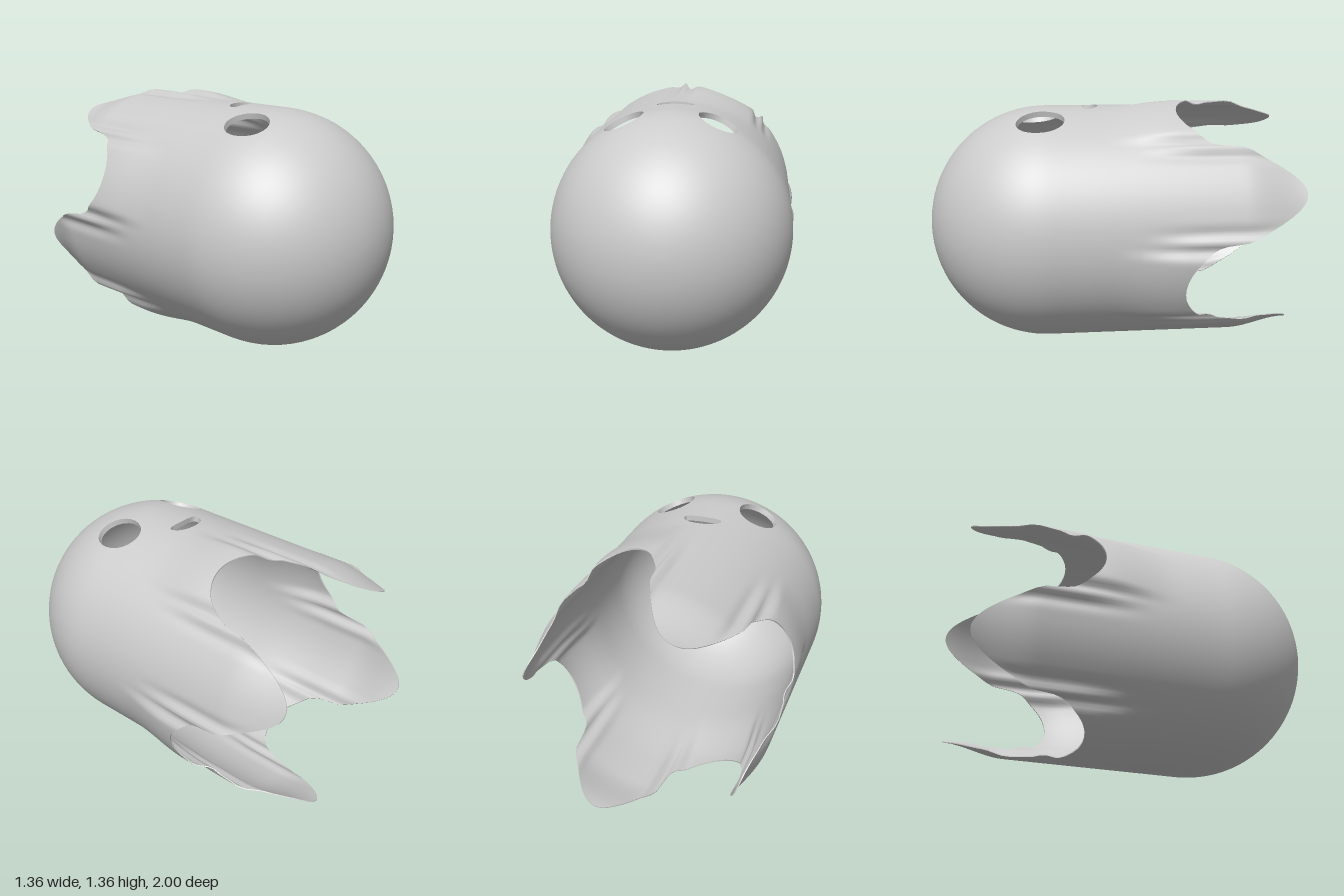
import * as THREE from 'three';
import { mergeVertices } from 'three/addons/utils/BufferGeometryUtils.js';

const R = 0.65, DOME_Z = 0.35, AXIS_Y = 0.683, WALL = 0.03;
const COLS = 256, DOME = 24, STRAIGHT = 9, HEM = 36;
const ROWS = DOME + STRAIGHT + HEM;
const STEP = (Math.PI * 2) / COLS;
const smooth = (a, b, v) => {
  const t = Math.min(1, Math.max(0, (v - a) / (b - a)));
  return t * t * (3 - 2 * t);
};

// Positive on the four petals, negative in the four notches
const wave = (a) => -Math.sin(4 * a);

// z of the hem around the body
function hemZ(a) {
  const s = wave(a);
  return s > 0 ? -0.66 - 0.335 * Math.pow(s, 0.85) : -0.66 + 0.32 * Math.pow(-s, 0.45);
}

// Point on the skin: a is the angle from the top, depth the distance inward
function skin(a, z, inner) {
  let r = R, depth = 0;
  if (z > DOME_Z) {
    r = Math.sqrt(Math.max(0, R * R - (z - DOME_Z) ** 2));
    if (inner) {
      const k = (R - WALL) / R;
      r *= k;
      z = DOME_Z + (z - DOME_Z) * k;
    }
  } else {
    const s = wave(a);
    const off = Math.asin(s) / 4; // angle from the nearest petal side
    r += 0.037 * smooth(0.05, -0.35, z) * smooth(0.1, 0.5, -s); // flared notches
    r -= 0.055 * smooth(-0.66, -0.99, z) * smooth(0, 0.6, s); // petal tips curl in
    r += 0.02 * smooth(-0.05, -0.5, z) * Math.cos(off * 32) * Math.exp(-((off / 0.1) ** 2)); // folds
    if (inner) depth = WALL - (WALL - 0.005) * smooth(0, -0.45, z);
    r -= depth;
  }
  return [r * Math.sin(a), AXIS_Y + r * Math.cos(a), z];
}

function rowZ(row, a) {
  if (row <= DOME) return DOME_Z + R * Math.cos((row / DOME) * Math.PI / 2);
  if (row <= DOME + STRAIGHT) return DOME_Z - 0.05 * (row - DOME);
  const start = DOME_Z - 0.05 * STRAIGHT;
  return start + (hemZ(a) - start) * ((row - DOME - STRAIGHT) / HEM);
}

// Face holes: grid window (columns, rows) and outline in x, z
const eye = (side) => ({
  c0: side > 0 ? 7 : -26, c1: side > 0 ? 26 : -7, r0: 19, r1: 27,
  outline: (t) => [side * 0.248 + 0.104 * Math.cos(t), 0.39 + 0.13 * Math.sin(t)],
});
const mouth = {
  c0: -8, c1: 8, r0: 27, r1: 31,
  outline: (t) => {
    const s = Math.sin(t);
    return [0.107 * Math.cos(t), 0.135 + (s > 0 ? 0.02 * Math.pow(s, 0.4) - 0.006 * s ** 4 : 0.075 * s)];
  },
};
const holes = [eye(1), eye(-1), mouth];

// Window border walked in order, each with its matching point on the hole
function holeLoop(h) {
  const border = [];
  for (let c = h.c0; c < h.c1; c++) border.push([c, h.r0]);
  for (let r = h.r0; r < h.r1; r++) border.push([h.c1, r]);
  for (let c = h.c1; c > h.c0; c--) border.push([c, h.r1]);
  for (let r = h.r1; r > h.r0; r--) border.push([h.c0, r]);
  const midA = (h.c0 + h.c1) / 2 * STEP, halfA = (h.c1 - h.c0) / 2 * STEP;
  const zTop = rowZ(h.r0, 0), zLow = rowZ(h.r1, 0);
  return border.map(([c, r]) => {
    const a = c * STEP, z = rowZ(r, a);
    const t = Math.atan2((z - (zTop + zLow) / 2) / ((zTop - zLow) / 2), (a - midA) / halfA);
    const [x, hz] = h.outline(t);
    const radius = hz > DOME_Z ? Math.sqrt(R * R - (hz - DOME_Z) ** 2) : R;
    return { a, z, ha: Math.asin(x / radius), hz };
  });
}

function toGeometry(quads, flip) {
  const pos = [];
  for (const [a, b, c, d] of quads) {
    for (const p of flip ? [a, c, b, a, d, c] : [a, b, c, a, c, d]) pos.push(...p);
  }
  const g = new THREE.BufferGeometry();
  g.setAttribute('position', new THREE.Float32BufferAttribute(pos, 3));
  const merged = mergeVertices(g, 1e-5);
  merged.computeVertexNormals();
  return merged;
}

function skinGeometry(inner) {
  const quads = [];
  const at = (c, r) => {
    const a = c * STEP;
    return skin(a, rowZ(r, a), inner);
  };
  const inHole = (c, r) => holes.some((h) => c >= h.c0 && c < h.c1 && r >= h.r0 && r < h.r1);
  for (let c = -COLS / 2; c < COLS / 2; c++) {
    for (let r = 0; r < ROWS; r++) {
      if (!inHole(c, r)) quads.push([at(c, r), at(c, r + 1), at(c + 1, r + 1), at(c + 1, r)]);
    }
  }
  // Rings blending each window into its hole
  const RINGS = 5;
  for (const h of holes) {
    const loop = holeLoop(h);
    const ring = (p, k) => {
      const t = k / RINGS;
      return skin(p.a + (p.ha - p.a) * t, p.z + (p.hz - p.z) * t, inner);
    };
    loop.forEach((p, i) => {
      const q = loop[(i + 1) % loop.length];
      for (let k = 0; k < RINGS; k++) quads.push([ring(p, k), ring(p, k + 1), ring(q, k + 1), ring(q, k)]);
    });
  }
  return toGeometry(quads, inner);
}

// Wall joining the outer and inner skins along a closed list of [angle, z]
function rimGeometry(points) {
  return toGeometry(points.map(([a, z], i) => {
    const [b, y] = points[(i + 1) % points.length];
    return [skin(a, z, false), skin(a, z, true), skin(b, y, true), skin(b, y, false)];
  }), false);
}

export function createModel() {
  const group = new THREE.Group();
  group.name = 'hollowGhost';
  const material = new THREE.MeshStandardMaterial({ color: 0xcccccc, side: THREE.DoubleSide });
  const add = (name, geometry) => {
    const mesh = new THREE.Mesh(geometry, material);
    mesh.name = name;
    group.add(mesh);
  };
  add('outerBody', skinGeometry(false));
  add('innerBody', skinGeometry(true));
  ['leftEyeRim', 'rightEyeRim', 'mouthRim'].forEach((name, i) => {
    add(name, rimGeometry(holeLoop(holes[i]).map((p) => [p.ha, p.hz])));
  });
  const hem = [];
  for (let c = 0; c < COLS; c++) hem.push([c * STEP, hemZ(c * STEP)]);
  add('hemRim', rimGeometry(hem));
  return group;
}
